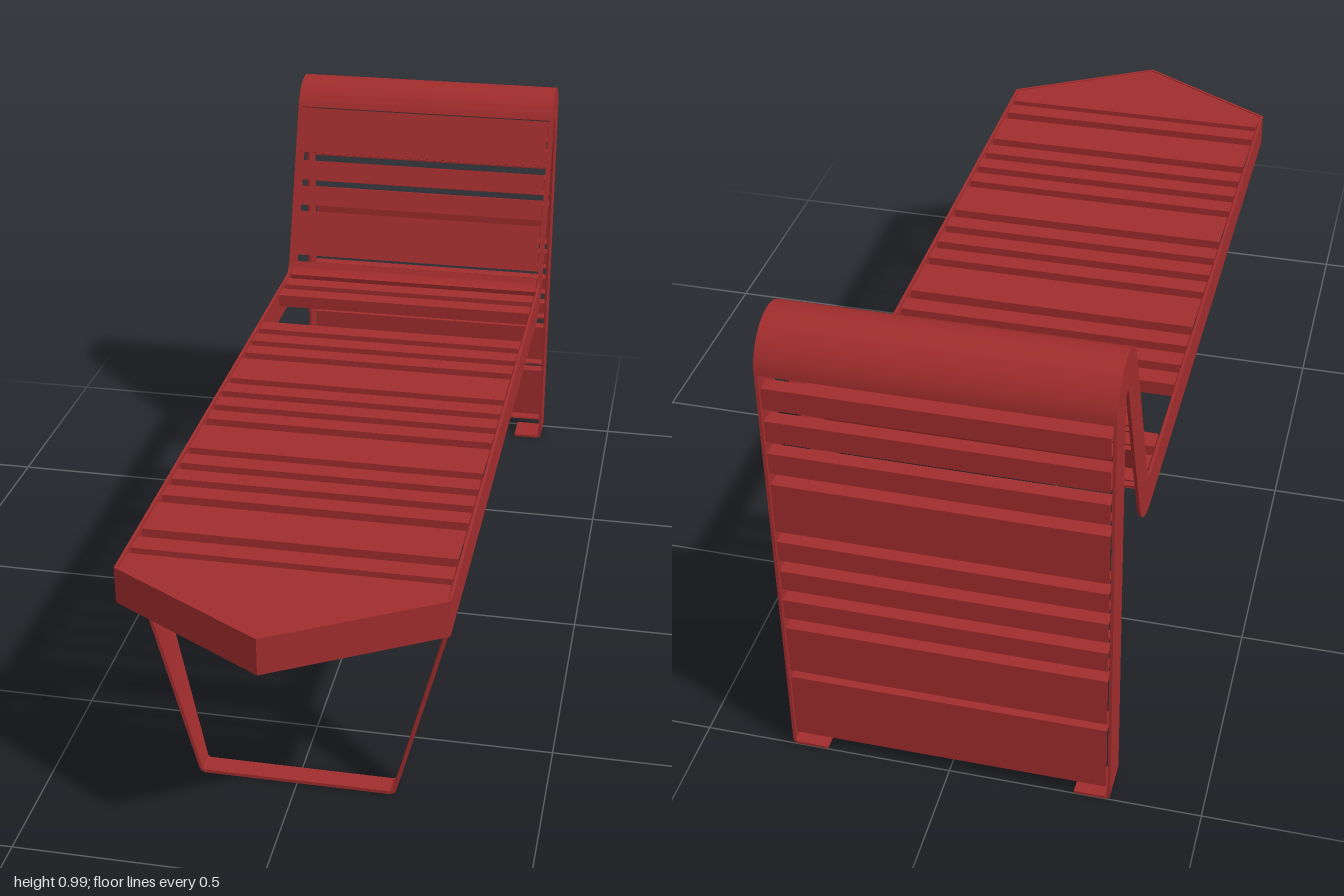
import * as THREE from 'three';
import { toCreasedNormals } from 'three/addons/utils/BufferGeometryUtils.js';

const material = new THREE.MeshStandardMaterial({ color: 0xa02c2c });
const TILT = Math.PI / 9;               // lean of the backrest
const C = Math.cos(TILT), S = Math.sin(TILT);
const BEND = [-0.66, 0.577];            // centre of the seat-to-back bend (z, y)
const CREST = [-0.913, 0.903];          // centre of the rolled-over top (z, y)
const SHEET = 0.004, LIP = 0.03;

export function createModel() {
  const group = new THREE.Group();

  const add = (name, geometry) => {
    const mesh = new THREE.Mesh(toCreasedNormals(geometry, 0.5), material);
    mesh.name = name;
    group.add(mesh);
    return mesh;
  };
  const extrude = (shape, depth) =>
    new THREE.ExtrudeGeometry(shape, { depth, bevelEnabled: false, curveSegments: 16 });
  const polygon = (points) => new THREE.Shape(points.map((p) => new THREE.Vector2(...p)));
  // A (z, y) outline extruded across x, from x0 to x1
  const across = (shape, x0, x1) =>
    extrude(shape, x1 - x0).rotateY(-Math.PI / 2).translate(x1, 0, 0);
  // An (x, z) outline extruded down from the height top
  const plan = (shape, top, depth) =>
    extrude(shape, depth).rotateX(Math.PI / 2).translate(0, top, 0);

  // Folded sheet slat: path of { p, n } in (z, y), n pointing to the hidden side
  const slat = (name, path, half = 0.313) => {
    const first = path[0], last = path[path.length - 1], second = path[1], prior = path[path.length - 2];
    const dir = (a, b) => {
      const d = [b.p[0] - a.p[0], b.p[1] - a.p[1]], l = Math.hypot(...d);
      return [d[0] / l, d[1] / l];
    };
    const at = (q, depth, t = [0, 0], k = 0) =>
      [q.p[0] + q.n[0] * depth + t[0] * k, q.p[1] + q.n[1] * depth + t[1] * k];
    const t0 = dir(first, second), t1 = dir(prior, last);
    const outline = [
      at(first, LIP), ...path.map((q) => at(q, 0)), at(last, LIP),
      at(last, LIP, t1, -SHEET), at(last, SHEET, t1, -SHEET),
      ...path.slice(1, -1).reverse().map((q) => at(q, SHEET)),
      at(first, SHEET, t0, SHEET), at(first, LIP, t0, SHEET),
    ];
    add(name, across(polygon(outline), -half, half));
  };
  const flatSlat = (name, a, b, point, n) =>
    slat(name, [a, b].map((s) => ({ p: point(s), n })));
  // Points on an arc; side is +1 when the hidden side faces away from the centre
  const arc = (c, r, a0, a1, side, steps = 16) =>
    Array.from({ length: steps + 1 }, (_, i) => {
      const a = a0 + ((a1 - a0) * i) / steps, u = [Math.cos(a), Math.sin(a)];
      return { p: [c[0] + r * u[0], c[1] + r * u[1]], n: [side * u[0], side * u[1]] };
    });

  // Side rails: one flat bar following seat, bend, backrest, crest and rear leg
  const PI = Math.PI;
  const upper = [...arc(BEND, 0.038, -PI / 2, -PI + TILT, 1), ...arc(CREST, 0.087, TILT, PI, 1)];
  const lower = [...arc(CREST, 0.011, PI, TILT, 1), ...arc(BEND, 0.115, -PI + TILT, -PI / 2, 1)];
  const rail = polygon([
    [0.81, 0.539], ...upper.map((q) => q.p), [-1, 0.014],
    [-0.924, 0.014], ...lower.map((q) => q.p), [0.81, 0.462],
  ]);
  // Inturned foot at the bottom of each rear leg
  const foot = new THREE.Shape();
  foot.moveTo(0.322, 0.014);
  foot.quadraticCurveTo(0.322, 0, 0.308, 0);
  foot.lineTo(0.25, 0);
  foot.lineTo(0.25, 0.006);
  foot.lineTo(0.308, 0.006);
  foot.quadraticCurveTo(0.316, 0.006, 0.316, 0.014);
  for (const side of [1, -1]) {
    const label = side > 0 ? 'left' : 'right';
    add(label + 'Rail', side > 0 ? across(rail, 0.316, 0.322) : across(rail, -0.322, -0.316));
    const f = extrude(foot, 0.076);
    if (side < 0) f.rotateY(PI).translate(0, 0, 0.076);
    add(label + 'RearFoot', f.translate(0, 0, -1));
  }

  // Pointed front apron and its top plate
  add('frontApron', plan(polygon([
    [0.322, 0.81], [0, 1], [-0.322, 0.81], [-0.316, 0.806], [0, 0.993], [0.316, 0.806],
  ]), 0.539, 0.077));
  add('frontPlate', plan(polygon([
    [0.313, 0.75], [0.315, 0.807], [0, 0.994], [-0.315, 0.807], [-0.313, 0.75],
  ]), 0.537, SHEET));
  add('frontPlateLip', new THREE.BoxGeometry(0.626, LIP, SHEET).translate(0, 0.537 - LIP / 2, 0.752));

  // Seat slats: one wide slat then three narrow ones, repeating
  const seatPoint = (z) => [z, 0.537];
  flatSlat('seatSlat', 0.73, 0.685, seatPoint, [0, -1]);
  for (let k = 0; k < 4; k++) {
    const z = 0.655 - k * 0.35;
    if (z > -0.38) flatSlat('wideSeatSlat', z, z - 0.11, seatPoint, [0, -1]);
    for (let j = 0; j < 3; j++) {
      const front = z - 0.14 - j * 0.07;
      if (front > -0.62) flatSlat('seatSlat', front, front - 0.043, seatPoint, [0, -1]);
    }
  }

  // Curved slats in the bend and over the crest
  slat('bendSlat', arc(BEND, 0.04, -PI / 2 - 0.25, -PI + TILT, 1, 10));
  const cap = arc(CREST, 0.087, TILT, PI, -1, 24);
  slat('crestCap', cap, 0.322);

  // Backrest slats
  const backPoint = (y) => [-0.698 - (y - 0.563) * Math.tan(TILT), y];
  for (const [a, b] of [[0.58, 0.685], [0.7, 0.745], [0.76, 0.806], [0.825, 0.93]])
    flatSlat('backrestSlat', a, b, backPoint, [-C, -S]);

  // Rear panel slats
  const rearPoint = (y) => [-0.999, y];
  const rear = [[0.033, 0.182]];
  for (const y of [0.2, 0.55]) {
    rear.push([y, y + 0.11]);
    for (let j = 0; j < 3; j++) rear.push([y + 0.136 + j * 0.072, y + 0.181 + j * 0.072]);
  }
  for (const [a, b] of rear) flatSlat('rearPanelSlat', a, b, rearPoint, [1, 0]);

  // Front leg: bent strap loop, widening upwards with a straight front edge
  const outer = [[0.316, 0.505], [0.316, 0.44], [0.206, 0.016], [0.202, 0.005], [0.194, 0]];
  const inner = [[0.309, 0.505], [0.309, 0.441], [0.199, 0.016], [0.197, 0.01], [0.192, 0.007]];
  const mirror = (list) => list.map(([x, y]) => [-x, y]).reverse();
  const leg = extrude(polygon([
    ...outer, ...mirror(outer), ...mirror(inner).reverse(), ...[...inner].reverse(),
  ]), 1);
  const pos = leg.attributes.position;
  for (let i = 0; i < pos.count; i++) {
    const width = 0.043 + 0.063 * Math.min(1, pos.getY(i) / 0.44);
    pos.setZ(i, 0.7 - (1 - pos.getZ(i)) * width);
  }
  add('frontLeg', leg);

  return group;
}
